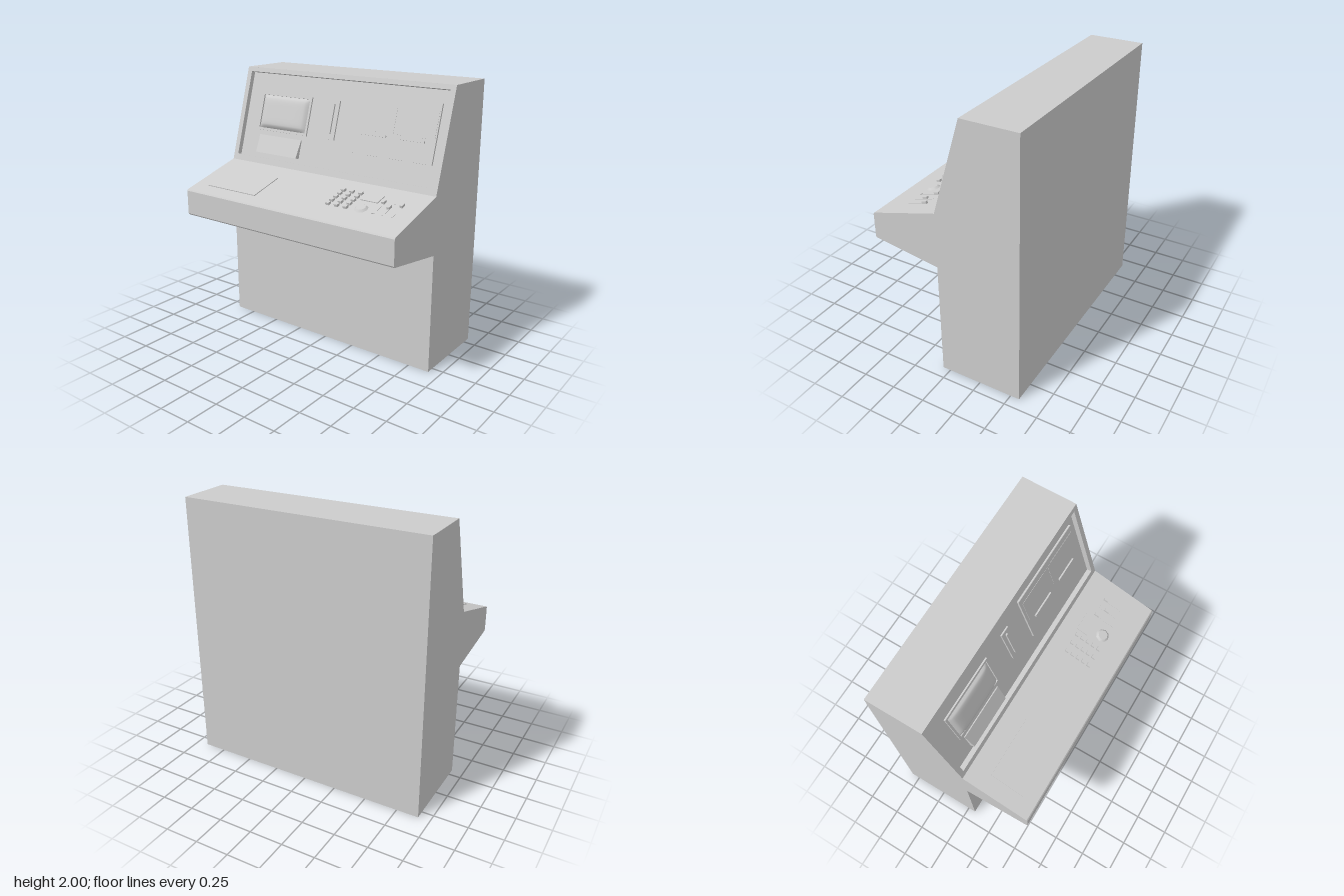
import * as THREE from 'three';

const W = 0.913; // half width of the cabinet

export function createModel() {
  const model = new THREE.Group();
  model.name = 'controlConsole';
  const grey = new THREE.MeshStandardMaterial({ color: 0xcccccc, side: THREE.DoubleSide });
  grey.name = 'light grey';

  const add = (parent, name, geometry, x = 0, y = 0, z = 0) => {
    const mesh = new THREE.Mesh(geometry, grey);
    mesh.name = name;
    mesh.position.set(x, y, z);
    parent.add(mesh);
    return mesh;
  };
  const rectPath = (path, x0, x1, y0, y1) => {
    path.moveTo(x0, y0).lineTo(x1, y0).lineTo(x1, y1).lineTo(x0, y1).closePath();
    return path;
  };
  const frame = (outer, inner, depth) => {
    const shape = rectPath(new THREE.Shape(), ...outer);
    shape.holes.push(rectPath(new THREE.Path(), ...inner));
    return new THREE.ExtrudeGeometry(shape, { depth, bevelEnabled: false });
  };

  // Cabinet profile as [z, y], from the front foot over the top to the back foot
  const profile = [[0.06, 0], [0.06, 0.88], [0.56, 0.955], [0.567, 0.965], [0.567, 1.143],
    [0.56, 1.153], [0.06, 1.295], [-0.155, 2], [-0.567, 2], [-0.567, 0]];
  const panelSegment = 6;

  // Sides
  for (const side of [-1, 1]) {
    const shape = new THREE.Shape(profile.map(([z, y]) => new THREE.Vector2(-side * z, y)));
    add(model, side > 0 ? 'leftSide' : 'rightSide',
      new THREE.ShapeGeometry(shape).rotateY(side * Math.PI / 2), side * W);
  }

  // Outer skin, open underneath and at the sloping panel
  const skin = [];
  for (let i = 0; i < profile.length - 1; i++) {
    if (i === panelSegment) continue;
    const [pz, py] = profile[i], [qz, qy] = profile[i + 1];
    const a = [-W, py, pz], b = [W, py, pz], c = [W, qy, qz], d = [-W, qy, qz];
    skin.push(...a, ...b, ...c, ...a, ...c, ...d);
  }
  const skinGeometry = new THREE.BufferGeometry();
  skinGeometry.setAttribute('position', new THREE.Float32BufferAttribute(skin, 3));
  skinGeometry.computeVertexNormals();
  add(model, 'cabinetSkin', skinGeometry);

  // Upright panel: local y runs up the slope, local z points out of it
  const panel = new THREE.Group();
  panel.name = 'uprightPanel';
  panel.position.set(0, 1.295, 0.06);
  const tilt = Math.atan2(0.215, 0.705);
  panel.rotation.x = -tilt;
  model.add(panel);
  const depth = 0.038;
  const up = (y) => (y - 1.284) / Math.cos(tilt); // world height to slope position
  const hole = [-0.873, 0.873, 0.047, 0.703];
  add(panel, 'panelSurround', frame([-W, W, 0, 0.737], hole, depth), 0, 0, -depth);
  add(panel, 'panelBack', new THREE.PlaneGeometry(1.746, 0.656), 0, 0.375, -depth);

  const plate = (name, x0, x1, y0, y1, base, height) => {
    const s0 = up(y0), s1 = up(y1);
    return add(panel, name, new THREE.BoxGeometry(x1 - x0, s1 - s0, height),
      (x0 + x1) / 2, (s0 + s1) / 2, -depth + base + height / 2);
  };

  // Screen with a thin bezel and a bulging glass
  add(panel, 'screenBezel', frame([-0.74, -0.255, up(1.535), up(1.815)],
    [-0.723, -0.272, up(1.553), up(1.798)], 0.012), 0, 0, -depth);
  const glass = new THREE.PlaneGeometry(0.45, up(1.798) - up(1.553), 24, 16);
  const gp = glass.attributes.position;
  const halfH = (up(1.798) - up(1.553)) / 2;
  for (let i = 0; i < gp.count; i++) {
    const u = Math.abs(gp.getX(i) / 0.225), v = Math.abs(gp.getY(i) / halfH);
    gp.setZ(i, 0.03 * Math.sqrt(Math.max(0, (1 - u ** 6) * (1 - v ** 6))));
  }
  glass.computeVertexNormals();
  add(panel, 'screenGlass', glass, -0.4975, (up(1.798) + up(1.553)) / 2, -depth + 0.001);

  // Wedge-shaped shelf below the screen
  const shelf = plate('screenShelf', -0.705, -0.295, 1.365, 1.5, 0, 0.03);
  const sp = shelf.geometry.attributes.position;
  for (let i = 0; i < sp.count; i++) {
    if (sp.getZ(i) > 0 && sp.getY(i) > 0) sp.setZ(i, -0.007);
    if (sp.getZ(i) > 0) sp.setX(i, sp.getX(i) * 0.97);
  }
  shelf.geometry = shelf.geometry.toNonIndexed();
  shelf.geometry.computeVertexNormals();

  // Card slot
  plate('slotPlate', -0.08, 0, 1.535, 1.812, 0, 0.012);
  plate('slotRidge', -0.05, -0.035, 1.575, 1.785, 0.012, 0.012);

  // Double instrument plate
  plate('instrumentPlate', 0.155, 0.825, 1.472, 1.868, 0, 0.014);
  for (const [x0, x1, a, b] of [[0.18, 0.49, 0.235, 0.44], [0.5, 0.815, 0.555, 0.745]]) {
    plate('instrumentWindow', x0, x1, 1.635, 1.82, 0.014, 0.002);
    plate('instrumentHandle', a, b, 1.605, 1.618, 0.014, 0.012);
  }

  // Sloping desk: local z runs down the slope, local y points out of it
  const desk = new THREE.Group();
  desk.name = 'desk';
  desk.position.set(0, 1.295, 0.06);
  const slope = Math.atan2(0.142, 0.5);
  desk.rotation.x = slope;
  model.add(desk);
  const along = (z) => (z - 0.06) / Math.cos(slope);
  const key = (name, x, z, w, l, h) =>
    add(desk, name, new THREE.BoxGeometry(w, h, l), x, h / 2, along(z));

  key('writingPad', -0.557, 0.335, 0.465, 0.27, 0.006);
  for (const x of [0.265, 0.337, 0.41]) {
    for (let row = 0; row < 5; row++) key('button', x, 0.195 + row * 0.045, 0.028, 0.028, 0.018);
  }
  key('smallDisplay', 0.517, 0.215, 0.138, 0.092, 0.006);
  add(desk, 'knob', new THREE.CylinderGeometry(0.035, 0.05, 0.014, 8), 0.517, 0.007, along(0.35));

  // Slider switches
  for (const [x, z] of [[0.625, 0.24], [0.695, 0.285], [0.765, 0.24]]) {
    key('sliderTrack', x, 0.3, 0.018, 0.15, 0.002);
    key('sliderLever', x, z, 0.02, 0.036, 0.018);
  }
  key('indicator', 0.625, 0.375, 0.02, 0.008, 0.006);

  return model;
}
